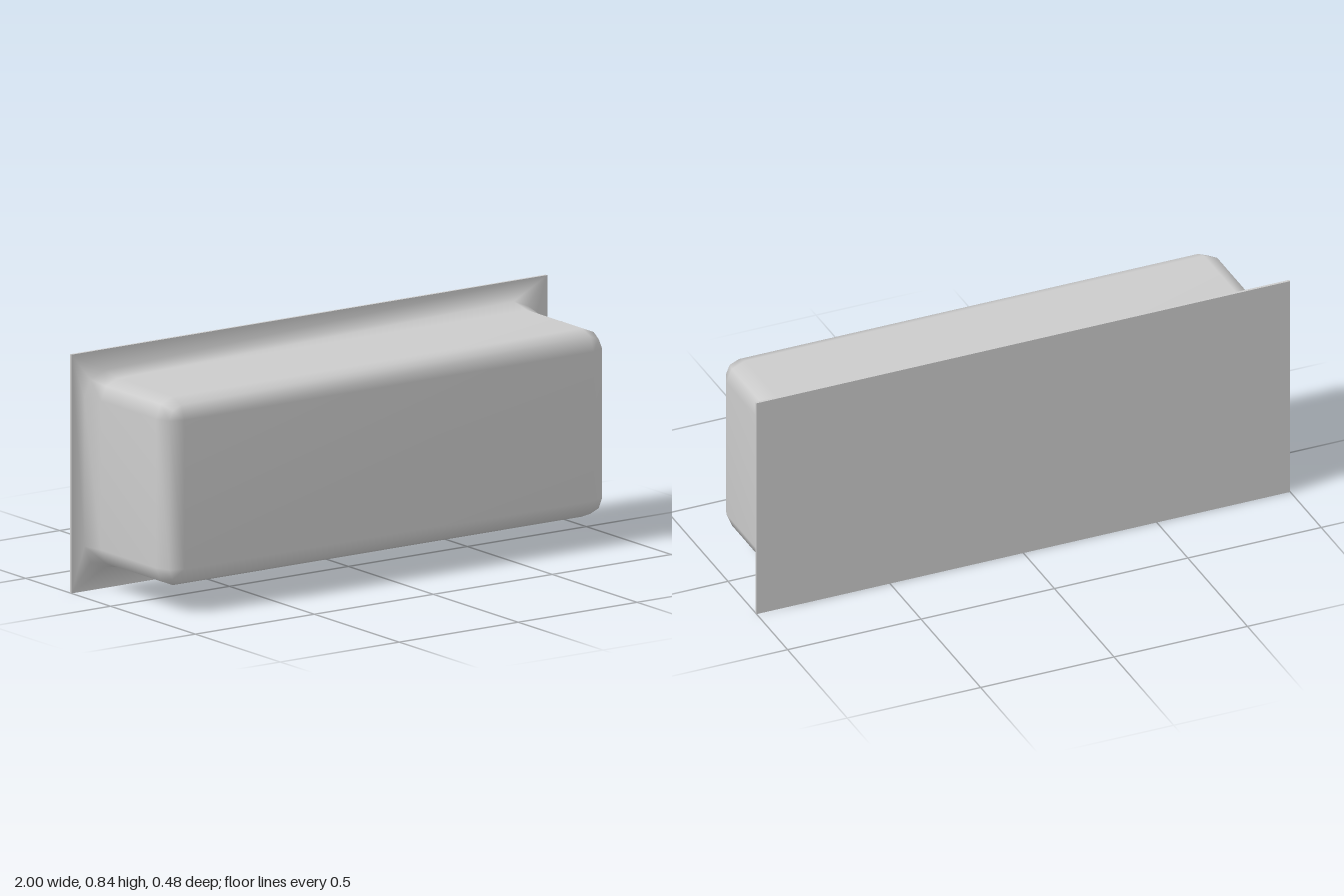
import * as THREE from 'three';
import { mergeVertices } from 'three/addons/utils/BufferGeometryUtils.js';

const CENTER_Y = 0.42;

// Rounded rectangle: core half-sizes grown by d, three points per corner
function ring(hx, hy, d, z) {
  const points = [];
  [[1, 1], [-1, 1], [-1, -1], [1, -1]].forEach(([sx, sy], corner) => {
    for (let i = 0; i < 3; i++) {
      const a = corner * Math.PI / 2 + i * Math.PI / 4;
      points.push([sx * hx + d * Math.cos(a), sy * hy + d * Math.sin(a), z]);
    }
  });
  return points;
}

// Loft through rings from back to front, closed by a front quad
function loft(rings) {
  const n = rings[0].length;
  const index = [];
  for (let r = 0; r < rings.length - 1; r++) {
    for (let i = 0; i < n; i++) {
      const j = (i + 1) % n;
      const a = r * n + i, b = r * n + j;
      index.push(a, b, b + n, a, b + n, a + n);
    }
  }
  const o = (rings.length - 1) * n;
  index.push(o, o + 3, o + 6, o, o + 6, o + 9);
  const geometry = new THREE.BufferGeometry();
  geometry.setAttribute('position', new THREE.Float32BufferAttribute(rings.flat(2), 3));
  geometry.setIndex(index);
  const merged = mergeVertices(geometry, 1e-4);
  merged.computeVertexNormals();
  return merged;
}

export function createModel() {
  const group = new THREE.Group();
  const material = new THREE.MeshStandardMaterial({ color: 0xcccccc });

  // Thin mounting plate at the back
  const plate = new THREE.Mesh(new THREE.BoxGeometry(2, 0.84, 0.0095), material);
  plate.name = 'backPlate';
  plate.position.set(0, CENTER_Y, -0.23525);
  group.add(plate);

  // Rounded housing: plate face, flared foot, straight walls, bevelled front
  const housing = new THREE.Mesh(loft([
    ring(1, 0.42, 0, -0.23),
    ring(0.86, 0.262, 0.085, -0.23),
    ring(0.86, 0.262, 0.07, -0.155),
    ring(0.86, 0.262, 0.07, 0.17),
    ring(0.86, 0.262, 0.05, 0.22),
    ring(0.86, 0.262, 0, 0.24),
  ]), material);
  housing.name = 'housing';
  housing.position.y = CENTER_Y;
  group.add(housing);

  return group;
}
